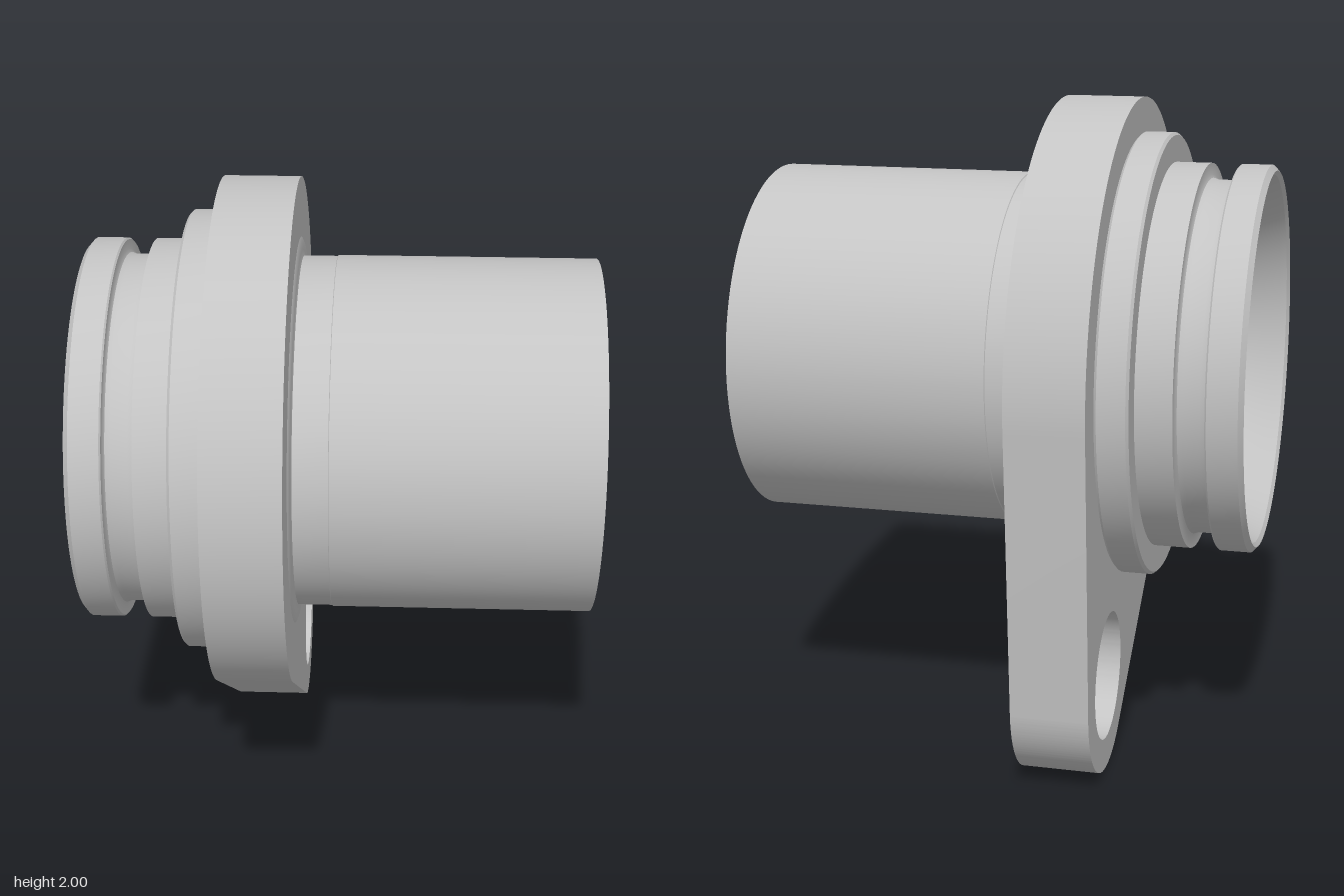
import * as THREE from 'three';
import { toCreasedNormals } from 'three/addons/utils/BufferGeometryUtils.js';

const AXIS_Y = 1.21; // height of the bore axis

// Revolve a profile of [x, radius] pairs about the x axis
function revolve(profile) {
  const pts = profile.map(([x, r]) => new THREE.Vector2(r, x));
  const geo = new THREE.LatheGeometry(pts, 96);
  geo.rotateZ(-Math.PI / 2);
  return toCreasedNormals(geo, 0.5);
}

// Flange outline: two circles joined by their outer tangents (shape x is -z)
function flangeShape() {
  const R = 0.79, r = 0.295, lug = new THREE.Vector2(0.415, 0.295 - AXIS_Y);
  const dir = Math.atan2(lug.y, lug.x);
  const spread = Math.acos((R - r) / lug.length());
  const shape = new THREE.Shape();
  shape.absarc(0, 0, R, dir + spread, dir - spread + Math.PI * 2, false);
  shape.absarc(lug.x, lug.y, r, dir - spread, dir + spread, false);
  const bore = new THREE.Path().absarc(0, 0, 0.5, 0, Math.PI * 2, true);
  const bolt = new THREE.Path().absarc(lug.x, lug.y, 0.195, 0, Math.PI * 2, true);
  shape.holes.push(bore, bolt);
  return shape;
}

export function createModel() {
  const model = new THREE.Group();
  model.name = 'flangedPipeFitting';
  const metal = new THREE.MeshStandardMaterial({ color: 0xc4c4c4 });
  metal.name = 'lightGreyMetal';

  const add = (name, geo) => {
    const mesh = new THREE.Mesh(geo, metal);
    mesh.name = name;
    mesh.position.y = AXIS_Y;
    model.add(mesh);
  };

  // Flange plate with bolt lug
  const plate = new THREE.ExtrudeGeometry(flangeShape(), {
    depth: 0.235, bevelEnabled: false, curveSegments: 72,
  });
  plate.rotateY(Math.PI / 2);
  plate.translate(-0.37, 0, 0);
  add('flange', toCreasedNormals(plate, 0.5));

  // Bell-mouthed bore, from the outlet back to the flared inlet
  const bore = new THREE.SplineCurve([
    [0.25, 0.37], [0, 0.378], [-0.25, 0.41], [-0.45, 0.453], [-0.62, 0.503], [-0.77, 0.565],
  ].map(([x, r]) => new THREE.Vector2(x, r))).getPoints(24).map(p => [p.x, p.y]);

  add('pipeBody', revolve([
    // inlet lip, seal groove and neck
    [-0.78, 0.578], [-0.765, 0.595], [-0.675, 0.595], [-0.67, 0.59],
    [-0.67, 0.56], [-0.665, 0.55], [-0.65, 0.545],
    [-0.60, 0.545], [-0.585, 0.55], [-0.58, 0.56], [-0.58, 0.595],
    // collar against the flange
    [-0.47, 0.595], [-0.47, 0.677], [-0.462, 0.685], [-0.378, 0.685], [-0.37, 0.677],
    // hidden through the flange, then the raised ring on its far side
    [-0.36, 0.605], [-0.135, 0.605], [-0.129, 0.59], [-0.129, 0.565], [-0.125, 0.547],
    // outlet sleeve
    [-0.02, 0.547], [-0.018, 0.55], [0.78, 0.55], [0.78, 0.522],
    // tapered ring groove in the outlet end
    [0.10, 0.485], [0.10, 0.445], [0.78, 0.42],
    // inner sleeve and bore
    [0.78, 0.37], ...bore, [-0.78, 0.578],
  ]));

  return model;
}
